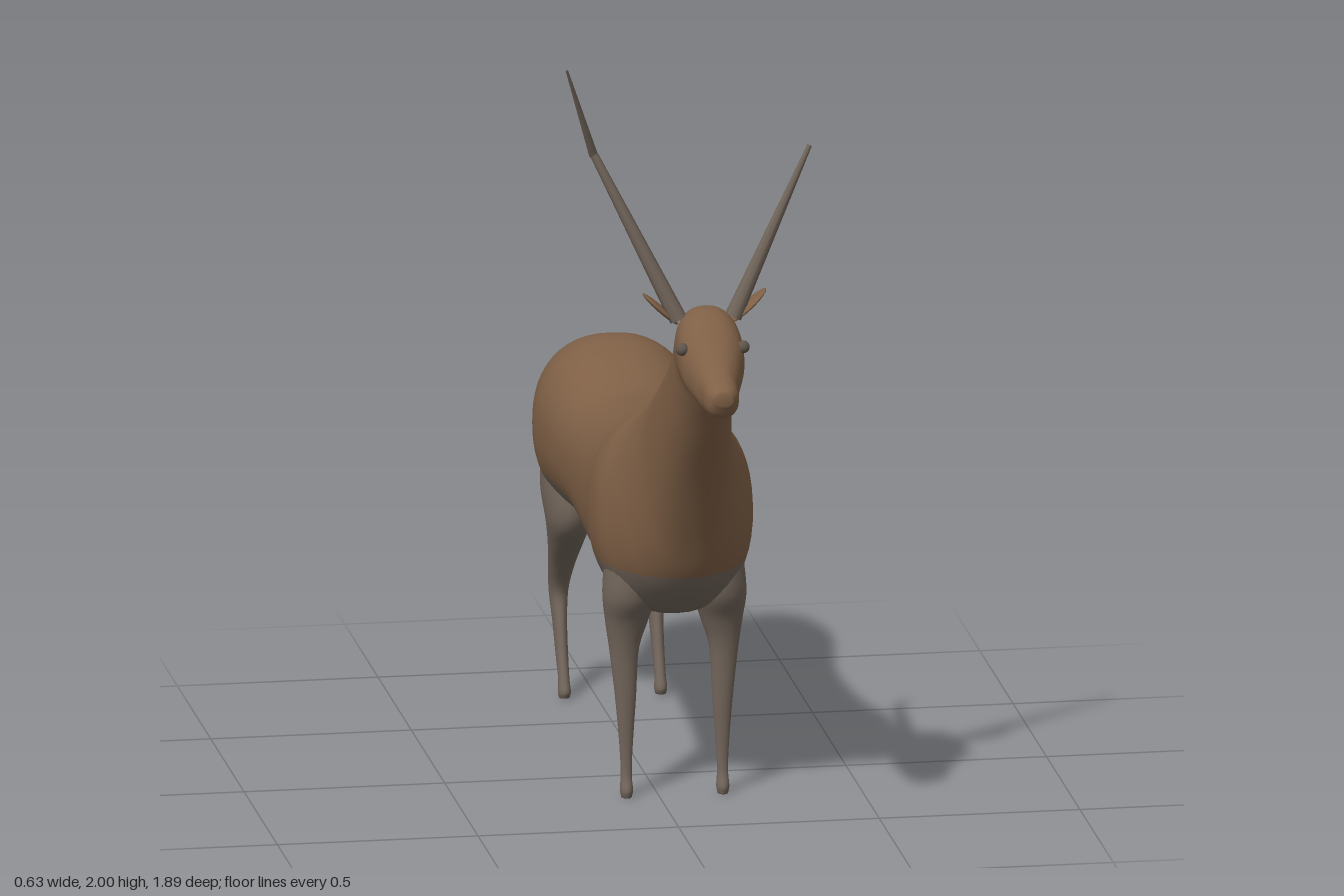
import * as THREE from 'three';

const MID = 0.04;      // x of the animal's centre plane
const PAINT_Y = 0.6;   // coat is brown above this height, grey below

const brown = new THREE.MeshStandardMaterial({ name: 'brown coat', color: 0x7f6046 });
const grey = new THREE.MeshStandardMaterial({ name: 'grey brown', color: 0x71655a });
const dark = new THREE.MeshStandardMaterial({ name: 'dark eye', color: 0x5f544a });

// Smooth skin through elliptical rings; row = [zLow, yLow, zHigh, yHigh, halfWidth, x]
function loft(rows, steps, sides, power, shape) {
  const lows = new THREE.CatmullRomCurve3(rows.map(r => new THREE.Vector3(r[5] ?? 0, r[1], r[0])), false, 'centripetal');
  const highs = new THREE.CatmullRomCurve3(rows.map(r => new THREE.Vector3(r[4], r[3], r[2])), false, 'centripetal');
  const pos = [], index = [];
  const bend = v => Math.sign(v) * Math.pow(Math.abs(v), 2 / power);
  const push = p => { if (shape) shape(p); pos.push(p.x + MID, p.y, p.z); };
  for (let i = 0; i <= steps; i++) {
    const lo = lows.getPoint(i / steps), hi = highs.getPoint(i / steps);
    for (let j = 0; j < sides; j++) {
      const a = j / sides * Math.PI * 2, c = bend(Math.cos(a)), s = bend(Math.sin(a));
      push(new THREE.Vector3(lo.x + hi.x * s,
        (lo.y + hi.y) / 2 + (hi.y - lo.y) / 2 * c,
        (lo.z + hi.z) / 2 + (hi.z - lo.z) / 2 * c));
    }
  }
  for (let i = 0; i < steps; i++) for (let j = 0; j < sides; j++) {
    const a = i * sides + j, b = i * sides + (j + 1) % sides;
    index.push(a, a + sides, b, a + sides, b + sides, b);
  }
  // Close both ends with a centre point
  for (const [i, flip] of [[0, false], [steps, true]]) {
    const lo = lows.getPoint(i / steps), hi = highs.getPoint(i / steps);
    push(new THREE.Vector3(lo.x, (lo.y + hi.y) / 2, (lo.z + hi.z) / 2));
    const pole = pos.length / 3 - 1;
    for (let j = 0; j < sides; j++) {
      const a = i * sides + j, b = i * sides + (j + 1) % sides;
      index.push(pole, flip ? b : a, flip ? a : b);
    }
  }
  const g = new THREE.BufferGeometry();
  g.setAttribute('position', new THREE.Float32BufferAttribute(pos, 3));
  g.setIndex(index);
  g.computeVertexNormals();
  return g;
}

// Cut a geometry at the paint line and keep the part above (sign 1) or below (-1)
function cut(geometry, sign) {
  const { position, normal } = geometry.attributes, ix = geometry.index.array;
  const P = [], N = [];
  for (let t = 0; t < ix.length; t += 3) {
    const tri = [0, 1, 2].map(k => ({
      p: new THREE.Vector3().fromBufferAttribute(position, ix[t + k]),
      n: new THREE.Vector3().fromBufferAttribute(normal, ix[t + k]),
    }));
    const poly = [];
    tri.forEach((a, k) => {
      const b = tri[(k + 1) % 3];
      const da = (a.p.y - PAINT_Y) * sign, db = (b.p.y - PAINT_Y) * sign;
      if (da >= 0) poly.push(a);
      if (da * db < 0) {
        const f = da / (da - db);
        poly.push({ p: a.p.clone().lerp(b.p, f), n: a.n.clone().lerp(b.n, f).normalize() });
      }
    });
    for (let k = 2; k < poly.length; k++) for (const v of [poly[0], poly[k - 1], poly[k]]) {
      P.push(...v.p.toArray());
      N.push(...v.n.toArray());
    }
  }
  const g = new THREE.BufferGeometry();
  g.setAttribute('position', new THREE.Float32BufferAttribute(P, 3));
  g.setAttribute('normal', new THREE.Float32BufferAttribute(N, 3));
  return g;
}

export function createModel() {
  const model = new THREE.Group();
  model.name = 'antelope';
  const add = (name, geometry, material) => {
    const mesh = new THREE.Mesh(geometry, material);
    mesh.name = name;
    model.add(mesh);
    return mesh;
  };
  const addCoat = (name, geometry) => {
    add(name + 'Upper', cut(geometry, 1), brown);
    add(name + 'Lower', cut(geometry, -1), grey);
  };

  // Trunk, neck and head in one skin, from rump to nose
  const trunk = [
    [-0.947, 0.67, -0.947, 0.73, 0.09], [-0.935, 0.62, -0.93, 0.78, 0.125],
    [-0.90, 0.565, -0.895, 0.835, 0.152], [-0.85, 0.515, -0.85, 0.88, 0.175],
    [-0.78, 0.485, -0.78, 0.915, 0.192], [-0.68, 0.48, -0.68, 0.93, 0.205],
    [-0.58, 0.495, -0.58, 0.915, 0.2], [-0.4, 0.51, -0.4, 0.87, 0.182],
    [-0.2, 0.485, -0.2, 0.885, 0.18], [0, 0.465, 0, 0.93, 0.187],
    [0.12, 0.455, 0.10, 0.965, 0.2], [0.24, 0.475, 0.16, 0.985, 0.195],
    [0.33, 0.54, 0.21, 1.005, 0.168], [0.38, 0.60, 0.27, 1.045, 0.14],
    [0.44, 0.72, 0.34, 1.1, 0.112], [0.52, 0.87, 0.43, 1.165, 0.095],
    [0.60, 1.0, 0.51, 1.225, 0.082], [0.66, 1.1, 0.56, 1.285, 0.075],
    [0.70, 1.155, 0.60, 1.34, 0.075], [0.74, 1.162, 0.67, 1.373, 0.082],
    [0.78, 1.158, 0.75, 1.35, 0.08], [0.82, 1.15, 0.81, 1.305, 0.064],
    [0.87, 1.145, 0.86, 1.265, 0.048], [0.92, 1.155, 0.915, 1.24, 0.04],
    [0.945, 1.19, 0.945, 1.225, 0.022],
  ];
  addCoat('body', loft(trunk, 144, 48, 2.25, p => {
    // Cleft between the two haunches
    const k = THREE.MathUtils.smoothstep(-p.z, 0.72, 0.92);
    p.z += 0.035 * k * Math.exp(-((p.x / 0.055) ** 2));
  }));

  // Legs, top to hoof
  const frontLeg = [
    [0.09, 0.66, 0.28, 0.66, 0.065, 0.1], [0.115, 0.52, 0.275, 0.52, 0.067, 0.112],
    [0.14, 0.45, 0.238, 0.45, 0.054, 0.118], [0.158, 0.38, 0.219, 0.38, 0.038, 0.124],
    [0.172, 0.25, 0.211, 0.25, 0.026, 0.121], [0.183, 0.1, 0.205, 0.1, 0.015, 0.12],
    [0.182, 0.05, 0.209, 0.05, 0.014, 0.12], [0.177, 0.015, 0.221, 0.018, 0.016, 0.12],
    [0.18, 0, 0.217, 0, 0.013, 0.12],
  ];
  const hindLeg = [
    [-0.85, 0.68, -0.6, 0.68, 0.07, 0.105], [-0.83, 0.55, -0.56, 0.54, 0.068, 0.115],
    [-0.77, 0.465, -0.575, 0.475, 0.055, 0.12], [-0.79, 0.39, -0.65, 0.405, 0.042, 0.12],
    [-0.825, 0.32, -0.73, 0.335, 0.032, 0.12], [-0.856, 0.25, -0.787, 0.255, 0.024, 0.12],
    [-0.835, 0.175, -0.772, 0.19, 0.018, 0.12], [-0.79, 0.09, -0.743, 0.1, 0.015, 0.12],
    [-0.757, 0.04, -0.72, 0.045, 0.014, 0.12], [-0.755, 0.012, -0.709, 0.018, 0.016, 0.12],
    [-0.752, 0, -0.715, 0.003, 0.013, 0.12],
  ];
  for (const [side, s] of [['left', 1], ['right', -1]]) {
    for (const [name, rows] of [['FrontLeg', frontLeg], ['HindLeg', hindLeg]]) {
      const placed = rows.map(r => [...r.slice(0, 5), r[5] * s]);
      addCoat(side + name, loft(placed, 48, 20, 2, null));
    }

    // Leaf-shaped ear
    const ear = add(side + 'Ear', new THREE.SphereGeometry(1, 20, 12), brown);
    ear.scale.set(0.06, 0.008, 0.032);
    ear.rotation.z = s * 0.75;
    ear.position.set(MID + s * 0.11, 1.363, 0.645);

    // Eye
    const eye = add(side + 'Eye', new THREE.SphereGeometry(0.016, 16, 12), dark);
    eye.position.set(MID + s * 0.076, 1.292, 0.77);
  }

  // Tapered straight piece between two points
  const spike = (name, a, b, ra, rb) => {
    const from = new THREE.Vector3(...a), to = new THREE.Vector3(...b);
    const dir = to.clone().sub(from);
    const mesh = add(name, new THREE.CylinderGeometry(rb, ra, dir.length(), 8), grey);
    mesh.position.copy(from).addScaledVector(dir, 0.5);
    mesh.quaternion.setFromUnitVectors(new THREE.Vector3(0, 1, 0), dir.normalize());
  };

  // Horns: the right one has a bent tip, the left one is shorter
  spike('leftHorn', [0.108, 1.34, 0.664], [0.309, 1.753, 0.605], 0.022, 0.006);
  spike('rightHorn', [-0.028, 1.34, 0.664], [-0.232, 1.76, 0.605], 0.022, 0.01);
  spike('rightHornTip', [-0.229, 1.75, 0.603], [-0.314, 2.0, 0.71], 0.011, 0.003);

  // Short tail
  spike('tail', [MID, 0.76, -0.905], [MID, 0.85, -0.912], 0.009, 0.007);
  return model;
}
